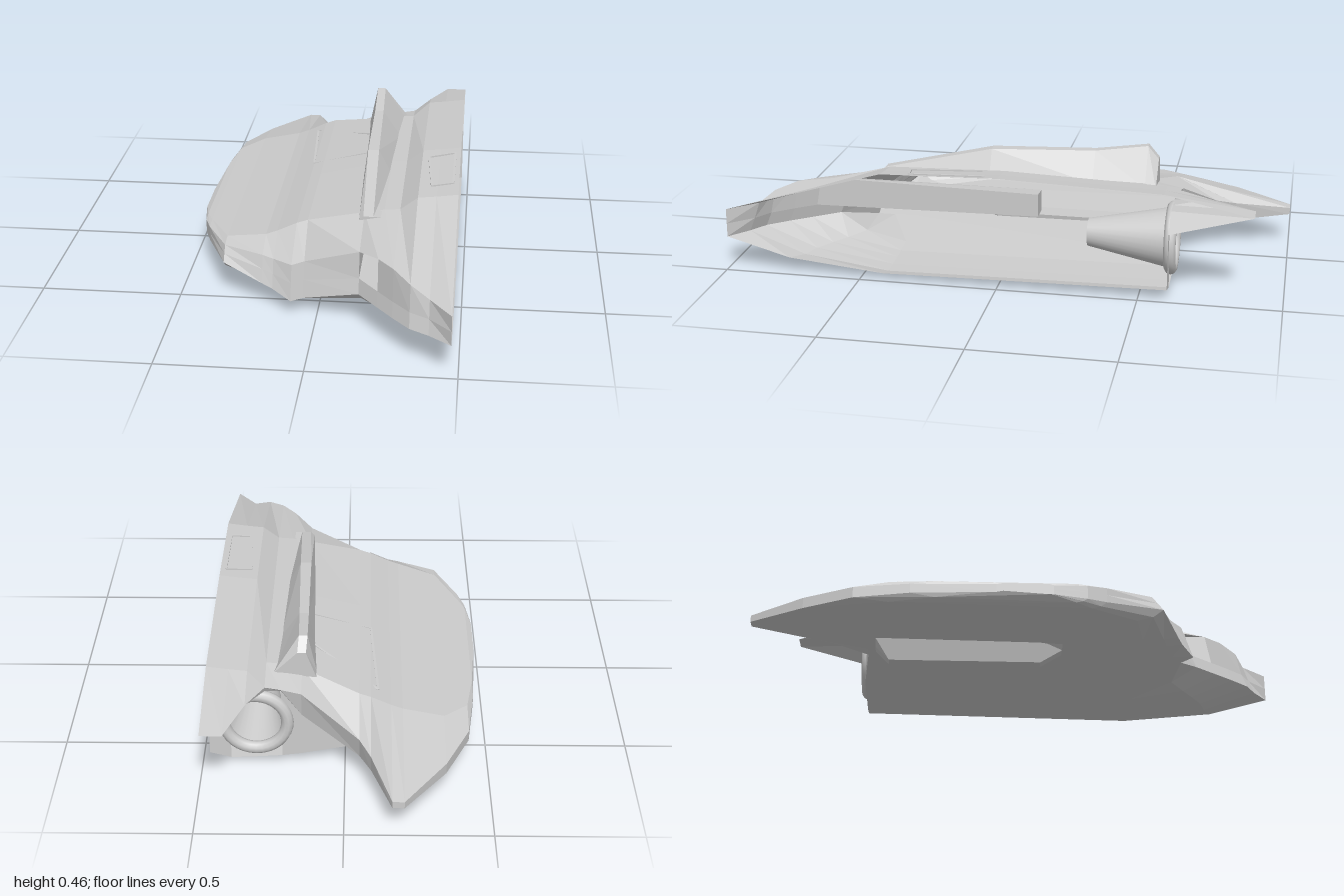
import * as THREE from 'three';

const flat = new THREE.MeshStandardMaterial({ color: 0xcccccc, flatShading: true, side: THREE.DoubleSide });
const smooth = new THREE.MeshStandardMaterial({ color: 0xcccccc, side: THREE.DoubleSide });

function add(parent, name, geometry, material = flat) {
  const mesh = new THREE.Mesh(geometry, material);
  mesh.name = name;
  parent.add(mesh);
  return mesh;
}

// Joins closed cross-sections of equal length; skip(i, j) leaves an opening
function skin(sections, { capStart = false, capEnd = false, skip = () => false } = {}) {
  const pos = [];
  const tri = (...pts) => pts.forEach((p) => pos.push(...p));
  const n = sections[0].length;
  for (let i = 0; i < sections.length - 1; i++) {
    for (let j = 0; j < n; j++) {
      if (skip(i, j)) continue;
      const k = (j + 1) % n;
      const [a, b, c, d] = [sections[i][j], sections[i][k], sections[i + 1][k], sections[i + 1][j]];
      tri(a, b, c);
      tri(a, c, d);
    }
  }
  const first = sections[0], last = sections[sections.length - 1];
  for (let j = 1; j < n - 1; j++) {
    if (capStart) tri(first[0], first[j + 1], first[j]);
    if (capEnd) tri(last[0], last[j], last[j + 1]);
  }
  const g = new THREE.BufferGeometry();
  g.setAttribute('position', new THREE.Float32BufferAttribute(pos, 3));
  g.computeVertexNormals();
  return g;
}

// Hull ribs: x, rear z, rear y, wall z, wall y, front z, lip y, chin y, top y, bottom y
const wingRibs = [
  [-0.475, -0.12, 0.15, -0.12, 0.12, 0.08, 0.15, 0.115, 0.155, 0.115],
  [-0.455, -0.42, 0.155, -0.42, 0.12, 0.2, 0.16, 0.11, 0.167, 0.095],
  [-0.43, -0.62, 0.15, -0.62, 0.11, 0.27, 0.165, 0.11, 0.172, 0.085],
  [-0.345, -0.8, 0.145, -0.8, 0.105, 0.48, 0.175, 0.125, 0.185, 0.08],
  [-0.2, -1, 0.14, -1, 0.115, 0.55, 0.175, 0.085, 0.215, 0.068],
  [-0.16, -1, 0.14, -1, 0.115, 0.57, 0.172, 0.075, 0.23, 0.064],
  [-0.09, -0.8, 0.17, -0.78, 0.1, 0.62, 0.175, 0.055, 0.263, 0.055],
  [-0.05, -0.73, 0.19, -0.7, 0.1, 0.58, 0.172, 0.05, 0.277, 0.05],
];
const bodyRibs = [
  [0.15, -0.62, 0.3, -0.6, 0.2, 0.67, 0.26, 0.12, 0.325, 0.02],
  [0.22, -0.61, 0.31, -0.6, 0.3, 0.76, 0.28, 0.12, 0.338, 0.01],
  [0.275, -0.61, 0.32, -0.6, 0.3, 0.83, 0.28, 0.12, 0.342, 0.006],
  [0.335, -0.73, 0.33, -0.6, 0.3, 0.9, 0.26, 0.12, 0.388, 0.002],
  [0.4, -0.89, 0.32, -0.6, 0.3, 0.94, 0.23, 0.12, 0.395, 0],
  [0.475, -0.89, 0.32, -0.6, 0.24, 1, 0.225, 0.12, 0.405, 0.02],
];

// One rib loop: over the top to the nose, then back along the belly
function rib([x, zB, yB, zW, yW, zF, yLip, yLow, yTop, yBot]) {
  const body = x > 0;
  const inset = x > -0.4 && x < 0.45 ? 0.04 : 0;
  const zTop = Math.min(0.42, 0.8 * zF);
  const zRear = Math.max(-0.58, 0.8 * zB);
  const { lerp } = THREE.MathUtils;
  return [
    [zB, yB],
    [zRear, yTop - (x > 0.3 ? 0.02 : 0)],
    [0, yTop],
    [zTop, yTop - (body ? 0.01 : 0)],
    [zF - inset, yLip],
    [zF - inset / 2, body ? 0.17 : (yLip + yLow) / 2],
    [zF, yLow],
    [lerp(zF, zTop, 0.4), lerp(yLow, yBot, 0.65)],
    [zTop, yBot],
    [body ? -0.6 : zRear, yBot + (body ? 0.015 : 0.01)],
    [zW, yW],
  ].map(([z, y]) => [x, y, z]);
}

// Thin square bars joined around a panel outline
function panelFrame(parent, name, corners) {
  const frame = new THREE.Group();
  frame.name = name;
  corners.forEach((c, i) => {
    const a = new THREE.Vector3(...c);
    const b = new THREE.Vector3(...corners[(i + 1) % corners.length]);
    const bar = add(frame, 'panelEdge', new THREE.BoxGeometry(0.008, 0.008, a.distanceTo(b)));
    bar.position.copy(a).lerp(b, 0.5);
    bar.lookAt(b);
  });
  parent.add(frame);
}

export function createModel() {
  const ship = new THREE.Group();
  ship.name = 'halfShip';

  // Hull, open along the centre plane, with openings for intake and nozzle
  const ribs = [...wingRibs, ...bodyRibs].map(rib);
  const k = wingRibs.length;
  add(ship, 'hull', skin(ribs, {
    capStart: true,
    skip: (i, j) => (i === k && j === 4) || (i > k && i < k + 4 && j === 9),
  }));

  // Intake duct running back from the front opening
  const mouth = [ribs[k][4], ribs[k][5], ribs[k + 1][5], ribs[k + 1][4]];
  const ductEnd = [[0.15, 0.26], [0.15, 0.18], [0.22, 0.18], [0.22, 0.265]].map(([x, y]) => [x, y, -0.1]);
  add(ship, 'intakeDuct', skin([mouth, ductEnd], { capEnd: true }));

  // Dorsal fin: z, base left, base right, ridge left, ridge right, ridge y
  const finStations = [
    [-0.53, 0.1, 0.25, 0.135, 0.165, 0.41],
    [-0.49, 0.1, 0.245, 0.13, 0.16, 0.455],
    [-0.3, 0.11, 0.235, 0.132, 0.165, 0.428],
    [0.08, 0.12, 0.222, 0.135, 0.175, 0.415],
    [0.48, 0.135, 0.21, 0.15, 0.185, 0.325],
  ].map(([z, bl, br, rl, rr, y]) => [[bl, 0.31, z], [br, 0.325, z], [rr, y, z], [rl, y, z]]);
  add(ship, 'dorsalFin', skin(finStations.map((s) => s.reverse()).reverse(), { capStart: true, capEnd: true }));

  // Ventral fin under the wing
  const keel = [[0.13, 0.05], [0.05, 0], [-0.5, 0], [-0.55, 0.05]].map(([z, y]) =>
    [[-0.17, 0.075, z], [-0.085, 0.075, z], [-0.1, y, z], [-0.145, y, z]]);
  add(ship, 'ventralFin', skin(keel, { capStart: true, capEnd: true }));

  // Engine bell and rim
  const engine = new THREE.Group();
  engine.name = 'engine';
  engine.position.set(0.31, 0.17, 0);
  ship.add(engine);
  const bell = [[0, -0.3], [0.05, -0.3], [0.05, -0.3], [0.11, -0.6]].map(([r, z]) => new THREE.Vector2(r, z));
  add(engine, 'engineBell', new THREE.LatheGeometry(bell, 28).rotateX(Math.PI / 2), smooth);
  add(engine, 'nozzleRim', new THREE.TorusGeometry(0.11, 0.022, 10, 32), smooth).position.z = -0.6;

  // Outlined panels on the wing root and the spine
  panelFrame(ship, 'wingPanel', [[-0.115, 0.25, -0.52], [0.13, 0.32, -0.32], [0.13, 0.32, -0.13], [-0.09, 0.262, -0.14]]);
  panelFrame(ship, 'spinePanel', [[0.36, 0.39, 0.07], [0.455, 0.402, 0.05], [0.455, 0.395, 0.32], [0.38, 0.386, 0.33]]);

  return ship;
}
